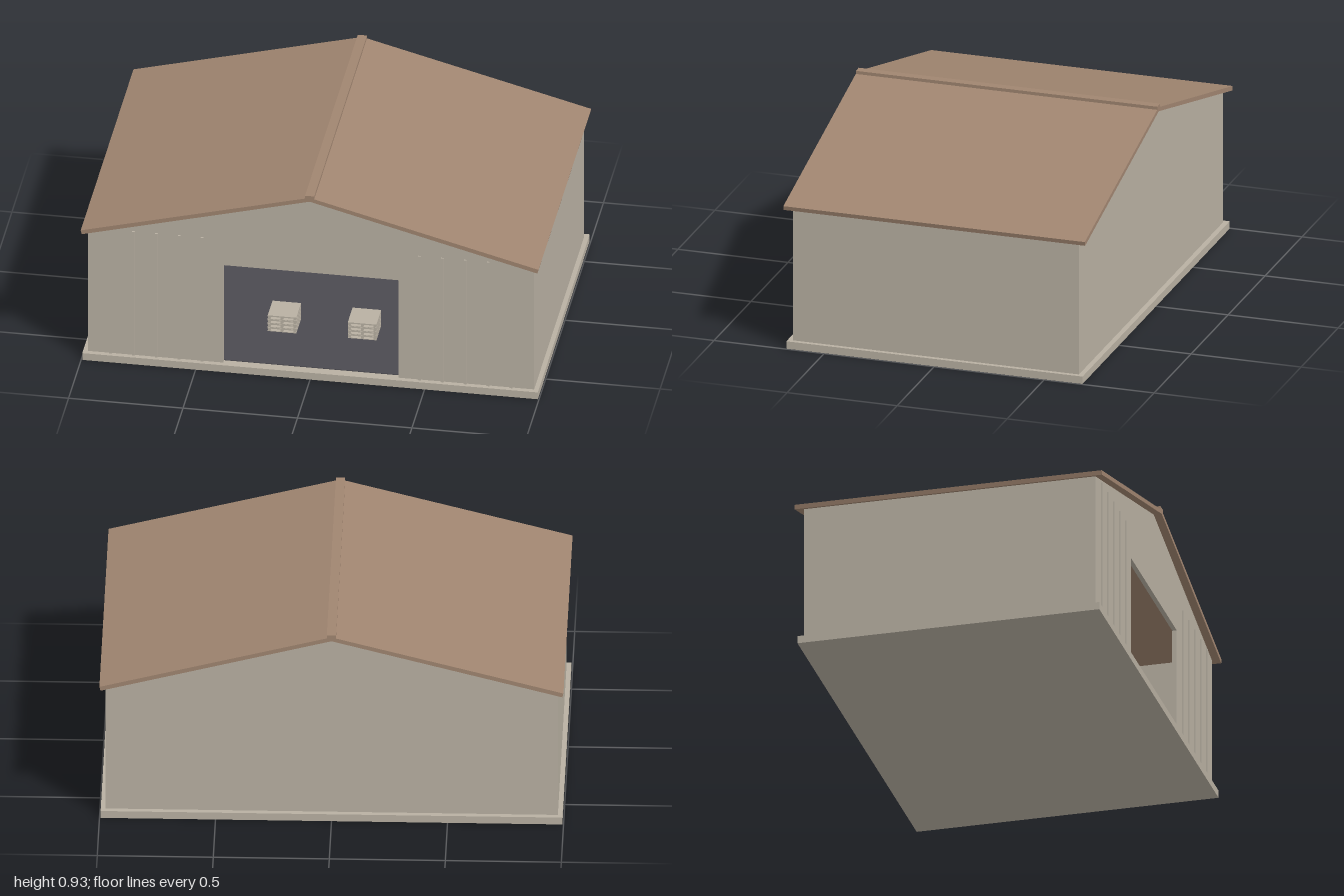
import * as THREE from 'three';

const BASE = 0.034, WALL_X = 0.975, WALL_Z = 0.65, T = 0.02;

export function createModel() {
  const group = new THREE.Group();
  const mat = (name, color) => {
    const m = new THREE.MeshStandardMaterial({ color });
    m.name = name;
    return m;
  };
  const beige = mat('beige cladding', 0xb8b0a2);
  const brown = mat('brown roofing', 0xa08570);
  const dark = mat('dark floor', 0x4b4a50);

  const add = (name, geometry, material, x = 0, y = 0, z = 0, parent = group) => {
    const mesh = new THREE.Mesh(geometry, material);
    mesh.name = name;
    mesh.position.set(x, y, z);
    parent.add(mesh);
    return mesh;
  };
  // Box given by its bottom centre
  const box = (name, w, h, d, material, x, y, z, parent) =>
    add(name, new THREE.BoxGeometry(w, h, d), material, x, y + h / 2, z, parent);
  // Straight extrusion of an outline along z
  const extrude = (points, depth) => new THREE.ExtrudeGeometry(
    new THREE.Shape(points.map(([x, y]) => new THREE.Vector2(x, y))),
    { depth, bevelEnabled: false });

  // Foundation and interior floor
  box('foundation', 1.99, BASE, 1.346, beige, 0, 0, 0);
  box('interiorFloor', 2 * (WALL_X - T), 0.003, 2 * (WALL_Z - T), dark, 0, BASE, 0);

  // Gable walls, the front one with a doorway
  const gableTop = [[WALL_X, BASE], [WALL_X, 0.65], [0, 0.905], [-WALL_X, 0.65], [-WALL_X, BASE]];
  const doorway = [[-0.383, BASE], [-0.383, 0.523], [0.383, 0.523], [0.383, BASE]];
  add('frontWall', extrude([...gableTop, ...doorway], T), beige, 0, 0, WALL_Z - T);
  add('backWall', extrude(gableTop, T), beige, 0, 0, -WALL_Z);

  // Side walls
  for (const s of [-1, 1]) {
    box(s > 0 ? 'leftWall' : 'rightWall', T, 0.65 - BASE, 2 * (WALL_Z - T), beige,
      s * (WALL_X - T / 2), BASE, 0);
  }

  // Vertical cladding ribs on both sides of the doorway
  for (const s of [-1, 1]) {
    for (let i = 0; i < 5; i++) {
      box('claddingRib', 0.012, 0.655 - BASE, 0.007, beige,
        s * (0.475 + 0.1 * i), BASE, WALL_Z + 0.0035);
    }
  }

  // Pitched roof with ridge cap
  const roof = [[-0.995, 0.638], [0, 0.9], [0.995, 0.638], [1, 0.657], [0, 0.919], [-1, 0.657]];
  add('roof', extrude(roof, 1.37), brown, 0, 0, -0.685);
  box('ridgeCap', 0.04, 0.022, 1.37, brown, 0, 0.906, 0);

  // Two stacks of pallets standing inside the doorway
  const SIZE = 0.125, STEP = 0.02;
  for (const s of [-1, 1]) {
    const stack = new THREE.Group();
    stack.name = 'palletStack';
    stack.position.set(s * 0.175, BASE + 0.003, 0.3);
    group.add(stack);
    for (let i = 0; i < 4; i++) {
      const y = i * STEP;
      box('palletBase', SIZE, 0.003, SIZE, beige, 0, y, 0, stack);
      for (const x of [-0.056, 0, 0.056]) {
        box('palletRunner', 0.012, 0.01, SIZE - 0.004, beige, x, y + 0.003, 0, stack);
      }
      box('palletDeck', SIZE, 0.006, SIZE, beige, 0, y + 0.013, 0, stack);
    }
  }
  return group;
}
